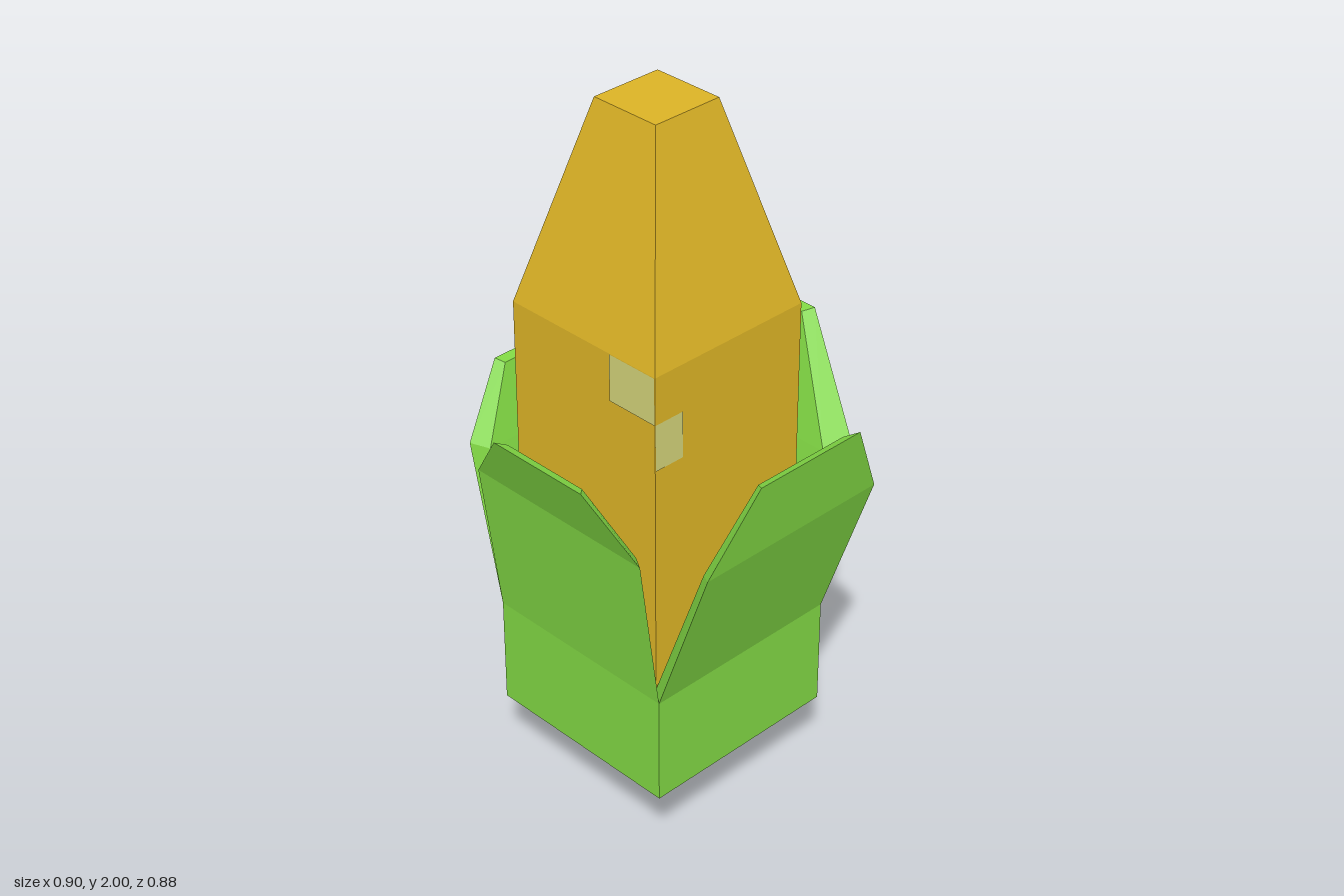
import * as THREE from 'three';

const mat = (color) => new THREE.MeshStandardMaterial({ color, flatShading: true, roughness: 1 });

// Closed solid through four-cornered rings, listed bottom to top,
// each ring counter-clockwise as seen from above.
function loft(rings) {
  const pos = [];
  const quad = (a, b, c, d) => pos.push(...a, ...b, ...c, ...a, ...c, ...d);
  for (let r = 0; r < rings.length - 1; r++) {
    const p = rings[r], q = rings[r + 1];
    for (let i = 0; i < 4; i++) {
      const j = (i + 1) % 4;
      quad(p[i], p[j], q[j], q[i]);
    }
  }
  quad(...[...rings[0]].reverse());
  quad(...rings[rings.length - 1]);
  const g = new THREE.BufferGeometry();
  g.setAttribute('position', new THREE.Float32BufferAttribute(pos, 3));
  g.computeVertexNormals();
  return g;
}

// Horizontal rectangle at height y
const rect = (y, x0, x1, z0, z1) => [[x0, y, z1], [x1, y, z1], [x1, y, z0], [x0, y, z0]];

// Leaf section: outer edge [u0, u1, y, distance], then inner edge likewise
const section = ([a0, a1, ay, ad], [b0, b1, by, bd]) =>
  [[a0, ay, ad], [a1, ay, ad], [b1, by, bd], [b0, by, bd]];

export function createModel() {
  const model = new THREE.Group();
  const add = (name, geometry, material) => {
    const mesh = new THREE.Mesh(geometry, material);
    mesh.name = name;
    model.add(mesh);
    return mesh;
  };

  const yellow = mat(0xdcb326);
  const green = mat(0x80d643);
  const darkGreen = mat(0x42541f);
  const pale = mat(0xd2d278);

  // Cob: square block tapering to a flat tip
  add('cob', loft([
    rect(0.225, -0.27, 0.225, -0.23, 0.265),
    rect(1.45, -0.27, 0.225, -0.23, 0.265),
    rect(2, -0.125, 0.08, -0.085, 0.12),
  ]), yellow);

  // Stem under the husk
  add('stem', loft([
    rect(0, -0.105, 0.065, -0.065, 0.105),
    rect(0.22, -0.25, 0.205, -0.21, 0.25),
  ]), darkGreen);

  // Husk leaves, modelled facing +z and turned to their side:
  // base = [outer u0, u1, distance, inner u0, u1, distance]
  const leaves = [
    {
      name: 'frontLeaf', turn: 0, base: [-0.315, 0.272, 0.3, -0.27, 0.225, 0.265],
      mid: [[-0.315, 0.272, 0.98, 0.362], [-0.27, 0.225, 0.97, 0.33]],
      tip: [[-0.16, 0.15, 1.17, 0.437], [-0.14, 0.125, 1.16, 0.41]],
    },
    {
      name: 'leftLeaf', turn: Math.PI / 2, base: [-0.3, 0.291, 0.272, -0.265, 0.23, 0.225],
      mid: [[-0.277, 0.313, 0.97, 0.415], [-0.245, 0.25, 0.95, 0.37]],
      tip: [[-0.135, 0.21, 1.19, 0.45], [-0.12, 0.175, 1.18, 0.425]],
    },
    {
      name: 'backLeaf', turn: Math.PI, base: [-0.272, 0.315, 0.291, -0.225, 0.27, 0.23],
      mid: [[-0.272, 0.315, 0.98, 0.39], [-0.225, 0.27, 0.97, 0.33]],
      tip: [[-0.08, 0.195, 1.29, 0.44], [-0.06, 0.175, 1.28, 0.413]],
    },
    {
      name: 'rightLeaf', turn: -Math.PI / 2, base: [-0.291, 0.3, 0.315, -0.23, 0.265, 0.27],
      mid: [[-0.293, 0.297, 0.98, 0.423], [-0.235, 0.267, 0.97, 0.378]],
      tip: [[-0.135, 0.177, 1.17, 0.453], [-0.105, 0.162, 1.16, 0.43]],
    },
  ];
  for (const { name, turn, base, mid, tip } of leaves) {
    const [o0, o1, od, i0, i1, id] = base;
    const low = (y) => section([o0, o1, y, od], [i0, i1, y, id]);
    add(name, loft([low(0.22), low(0.53), section(...mid), section(...tip)]), green).rotation.y = turn;
  }

  // Pale kernel patches lying just off the cob faces
  const patch = (name, w, h, x, y, z, turn) => {
    const mesh = add(name, new THREE.PlaneGeometry(w, h), pale);
    mesh.position.set(x, y, z);
    mesh.rotation.y = turn;
  };
  patch('frontKernelPatch', 0.153, 0.13, 0.148, 1.385, 0.267, 0);
  patch('sideKernelPatch', 0.09, 0.13, 0.227, 1.255, 0.22, Math.PI / 2);

  // Back patch follows the sloping face and its hip edge
  const back = new THREE.BufferGeometry();
  back.setAttribute('position', new THREE.Float32BufferAttribute([
    0.225, 1.45, -0.232, -0.022, 1.45, -0.232, -0.022, 1.715, -0.162,
    0.225, 1.45, -0.232, -0.022, 1.715, -0.162, 0.155, 1.715, -0.162,
  ], 3));
  back.computeVertexNormals();
  add('backKernelPatch', back, pale);

  return model;
}
